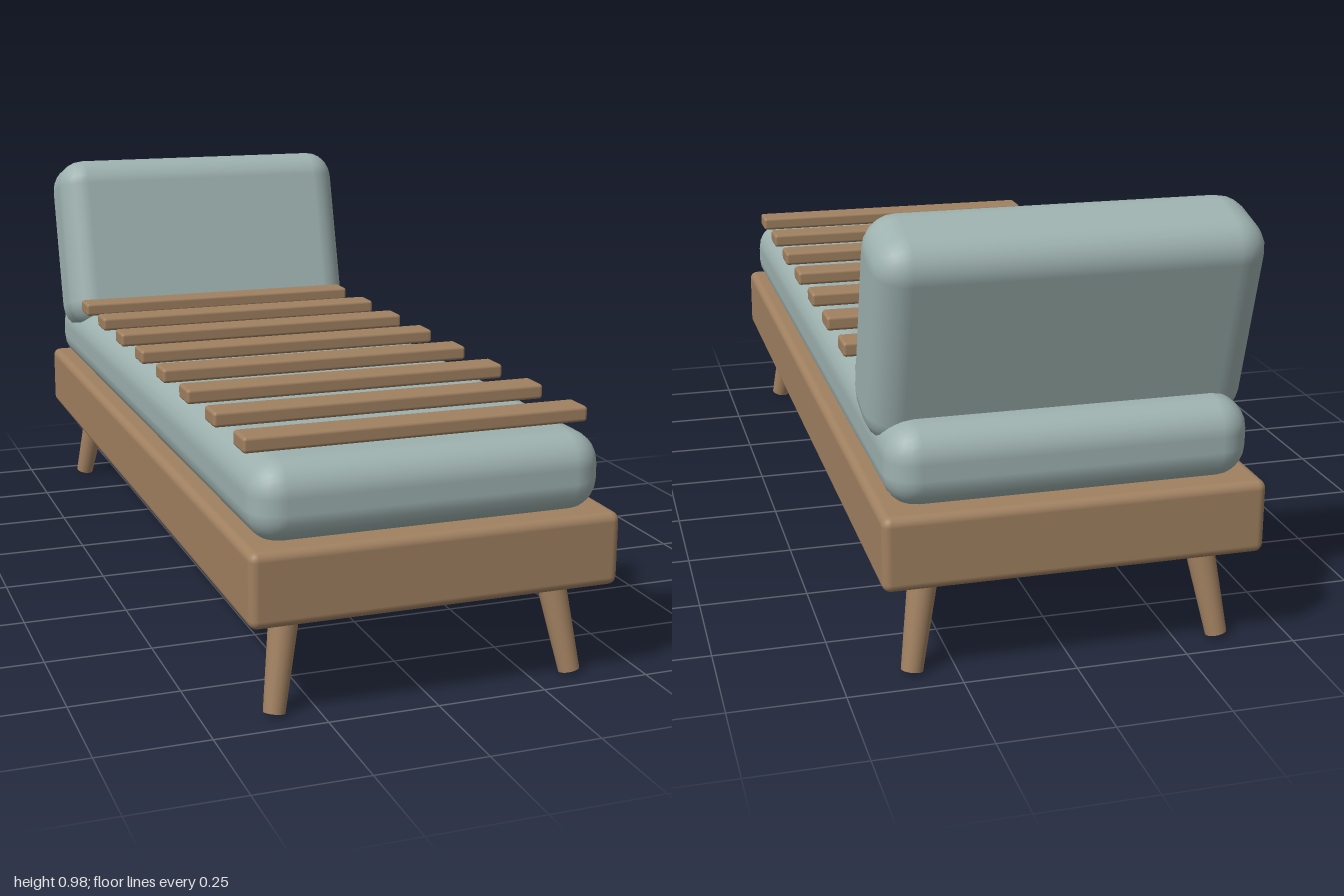
import * as THREE from 'three';
import { RoundedBoxGeometry } from 'three/addons/geometries/RoundedBoxGeometry.js';

export function createModel() {
  const wood = new THREE.MeshStandardMaterial({ color: 0xa08060 });
  wood.name = 'wood';
  const fabric = new THREE.MeshStandardMaterial({ color: 0x9db1af });
  fabric.name = 'sage fabric';

  const model = new THREE.Group();
  model.name = 'daybed';

  const roundedBox = (name, size, radius, segments, position, material) => {
    const mesh = new THREE.Mesh(new RoundedBoxGeometry(...size, segments, radius), material);
    mesh.name = name;
    mesh.position.set(...position);
    model.add(mesh);
    return mesh;
  };

  // Base and mattress
  roundedBox('frame', [0.84, 0.166, 2], 0.02, 3, [0, 0.303, 0], wood);
  roundedBox('mattress', [0.8, 0.18, 1.94], 0.073, 3, [0, 0.465, 0], fabric);

  // Leaning back cushion
  const cushion = roundedBox('backCushion', [0.84, 0.488, 0.225], 0.075, 3, [0, 0.728, -0.819], fabric);
  cushion.rotation.x = -0.28;

  // Row of slats across the mattress
  const slatCount = 8;
  for (let i = 0; i < slatCount; i++) {
    const z = THREE.MathUtils.lerp(0.842, -0.637, i / (slatCount - 1));
    roundedBox('slat', [0.79, 0.035, 0.075], 0.008, 2, [0, 0.577, z], wood);
  }

  // Tapered legs splayed towards the corners
  const up = new THREE.Vector3(0, 1, 0);
  for (const sx of [-1, 1]) {
    for (const sz of [-1, 1]) {
      const foot = new THREE.Vector3(sx * 0.346, 0.006, sz * 0.929);
      const top = new THREE.Vector3(sx * 0.307, 0.235, sz * 0.887);
      const axis = top.clone().sub(foot);
      const leg = new THREE.Mesh(new THREE.CylinderGeometry(0.034, 0.024, axis.length(), 20), wood);
      leg.name = 'leg';
      leg.position.copy(foot).add(top).multiplyScalar(0.5);
      leg.quaternion.setFromUnitVectors(up, axis.normalize());
      model.add(leg);
    }
  }

  return model;
}
